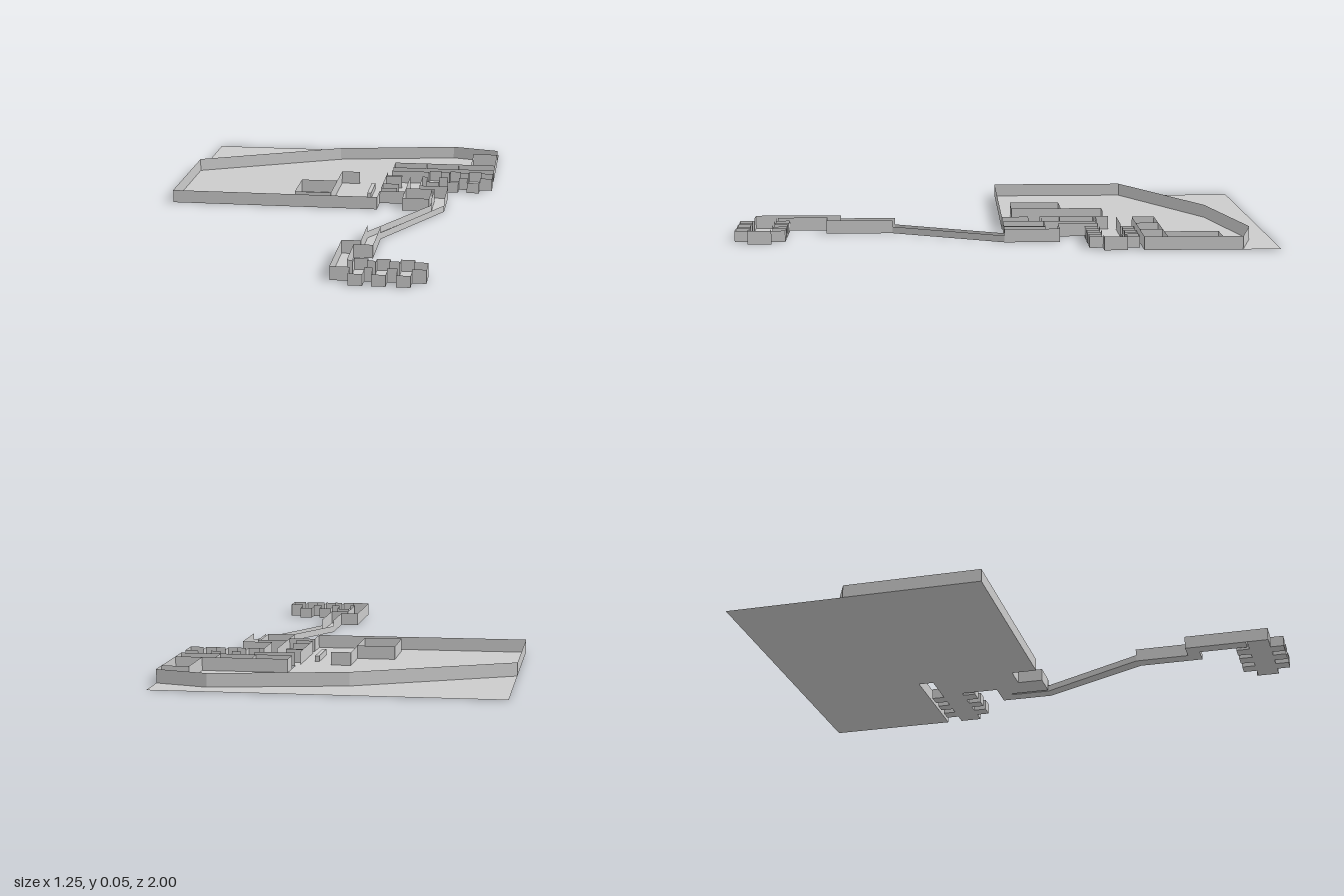
import * as THREE from 'three';

const material = new THREE.MeshStandardMaterial({ color: 0xcccccc, side: THREE.DoubleSide, flatShading: true });
const FULL = 0.05, CELL = 0.042, LOW = 0.025;

export function createModel() {
  const model = new THREE.Group();

  const add = (parent, name, geometry) => {
    const mesh = new THREE.Mesh(geometry, material);
    mesh.name = name;
    parent.add(mesh);
    return mesh;
  };

  // flat floor from a plan outline of [x, z] corners
  const floor = (parent, name, points) => {
    const shape = new THREE.Shape(points.map(([x, z]) => new THREE.Vector2(x, -z)));
    return add(parent, name, new THREE.ShapeGeometry(shape).rotateX(-Math.PI / 2));
  };

  // paper-thin upright wall following [x, z] points
  const wall = (parent, name, points, height = FULL) => {
    const position = [], index = [];
    points.forEach(([x, z], i) => {
      position.push(x, 0, z, x, height, z);
      const a = 2 * i;
      if (i) index.push(a - 2, a, a + 1, a - 2, a + 1, a - 1);
    });
    const geometry = new THREE.BufferGeometry();
    geometry.setAttribute('position', new THREE.Float32BufferAttribute(position, 3));
    geometry.setIndex(index);
    geometry.computeVertexNormals();
    return add(parent, name, geometry);
  };

  // hall wall running along x, open in front of each cell
  const hallSide = (parent, x0, x1, z, cells) => {
    let x = x0;
    for (const [a, b] of [...cells, [x1, x1]]) {
      if (a > x) wall(parent, 'hallWall', [[x, z], [a, z]]);
      x = b;
    }
  };

  // cells on both sides of a hall
  const cellRows = (parent, cells, zBack, zFront, depth) => {
    for (const [a, b] of cells) {
      for (const [z, end] of [[zBack, zBack - depth], [zFront, zFront + depth]]) {
        const outline = [[a, z], [a, end], [b, end], [b, z]];
        floor(parent, 'cellFloor', outline);
        wall(parent, 'cellWall', outline, CELL);
      }
    }
  };

  // main yard
  const yard = new THREE.Group();
  yard.name = 'mainYard';
  model.add(yard);
  floor(yard, 'yardFloor', [[-0.63, -1], [0.625, -1], [0.625, -0.5], [0.205, -0.5],
    [0.205, -0.44], [0.19, -0.44], [0.19, 0], [-0.63, 0]]);
  wall(yard, 'boundaryWall', [[0.19, -0.1], [0.19, 0], [-0.63, 0], [-0.63, -0.535],
    [-0.06, -0.82], [0.43, -0.915], [0.625, -0.86], [0.625, -0.5], [0.205, -0.5]]);
  wall(yard, 'squareRoomWall', [[0, -0.24], [-0.145, -0.24], [-0.145, -0.045], [0, -0.045],
    [0, -0.4], [0.075, -0.4]]);
  wall(yard, 'cornerRoomWall', [[0.625, -0.785], [0.525, -0.785], [0.525, -0.585]]);
  wall(yard, 'backRoomsWall', [[0.205, -0.5], [0.205, -0.585], [0.625, -0.585]]);
  for (const x of [0.34, 0.475]) wall(yard, 'backRoomPartition', [[x, -0.585], [x, -0.5]]);
  const bench = add(yard, 'bench', new THREE.BoxGeometry(0.016, 0.022, 0.165));
  bench.position.set(0.14, 0.011, -0.25);

  // middle rooms beside the yard
  const middle = new THREE.Group();
  middle.name = 'middleRooms';
  model.add(middle);
  floor(middle, 'middleFloor', [[0.19, -0.44], [0.29, -0.44], [0.29, -0.1], [0.19, -0.1]]);
  wall(middle, 'middleSideWall', [[0.19, -0.41], [0.19, -0.145]]);
  wall(middle, 'middleOuterWall', [[0.29, -0.355], [0.29, -0.1], [0.19, -0.1]]);
  for (const z of [-0.36, -0.35, -0.22, -0.15]) wall(middle, 'middlePartition', [[0.19, z], [0.255, z]]);

  // back cell block
  const backBlock = new THREE.Group();
  backBlock.name = 'backCellBlock';
  model.add(backBlock);
  const backCells = [[0.36, 0.41], [0.445, 0.49], [0.525, 0.575]];
  floor(backBlock, 'hallFloor', [[0.29, -0.44], [0.625, -0.44], [0.625, -0.355], [0.29, -0.355]]);
  hallSide(backBlock, 0.205, 0.625, -0.44, backCells);
  hallSide(backBlock, 0.34, 0.625, -0.355, backCells);
  wall(backBlock, 'hallEndWall', [[0.625, -0.44], [0.625, -0.355]]);
  cellRows(backBlock, backCells, -0.44, -0.355, 0.05);

  // small front room and the passage leading past it
  const passage = new THREE.Group();
  passage.name = 'passage';
  model.add(passage);
  floor(passage, 'frontRoomFloor', [[0.29, -0.155], [0.395, -0.155], [0.395, 0], [0.29, 0]]);
  wall(passage, 'frontRoomWall', [[0.395, -0.155], [0.395, 0], [0.29, 0], [0.29, -0.155], [0.395, -0.155]]);
  floor(passage, 'passageFloor', [[0.29, -0.355], [0.34, -0.355], [0.34, -0.205], [0.455, -0.205],
    [0.455, 0], [0.25, 0.42], [0.25, 0.67], [0.18, 0.67], [0.18, 0.86], [0.13, 0.86], [0.13, 0.62],
    [0.2, 0.62], [0.2, 0.41], [0.405, 0], [0.405, -0.155], [0.29, -0.155]]);
  wall(passage, 'upperPassageOuterWall', [[0.34, -0.355], [0.34, -0.205], [0.455, -0.205], [0.455, 0]]);
  wall(passage, 'upperPassageInnerWall', [[0.395, -0.155], [0.405, -0.155], [0.405, 0]]);
  wall(passage, 'slopingPassageOuterWall', [[0.455, 0], [0.25, 0.42]], LOW);
  wall(passage, 'slopingPassageInnerWall', [[0.405, 0], [0.2, 0.41]], LOW);
  wall(passage, 'lowerPassageOuterWall', [[0.25, 0.42], [0.25, 0.67], [0.18, 0.67], [0.18, 0.86]]);
  wall(passage, 'lowerPassageInnerWall', [[0.2, 0.41], [0.2, 0.62], [0.13, 0.62], [0.13, 0.86]]);

  // front cell block
  const frontBlock = new THREE.Group();
  frontBlock.name = 'frontCellBlock';
  model.add(frontBlock);
  const frontCells = [[0.2, 0.25], [0.28, 0.33], [0.365, 0.415]];
  floor(frontBlock, 'hallFloor', [[0.13, 0.865], [0.465, 0.865], [0.465, 0.948], [0.13, 0.948]]);
  hallSide(frontBlock, 0.18, 0.465, 0.865, frontCells);
  hallSide(frontBlock, 0.13, 0.465, 0.948, frontCells);
  for (const x of [0.13, 0.465]) wall(frontBlock, 'hallEndWall', [[x, 0.86], [x, 0.948]]);
  cellRows(frontBlock, frontCells, 0.865, 0.948, 0.052);

  return model;
}
